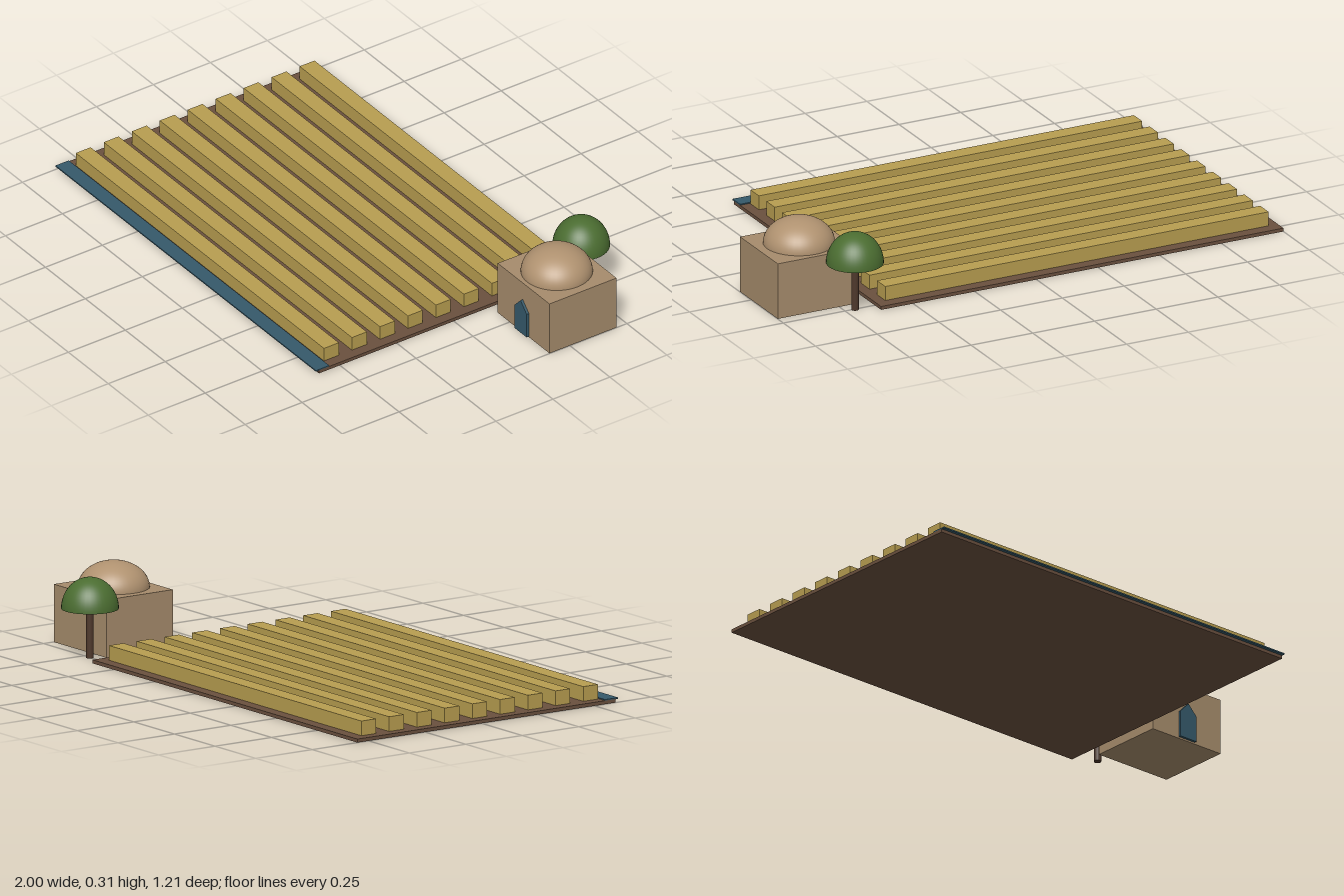
import * as THREE from 'three';

const mat = (name, color, side = THREE.FrontSide) => {
  const m = new THREE.MeshStandardMaterial({ color, side });
  m.name = name;
  return m;
};

export function createModel() {
  const model = new THREE.Group();
  model.name = 'farm';

  const soil = mat('soil brown', 0x6a503e);
  const crop = mat('crop yellow', 0xb89e50);
  const water = mat('teal blue', 0x35596a);
  const clay = mat('clay wall', 0xa68c6c);
  const domeClay = mat('clay dome', 0xb09270);
  const leaf = mat('leaf green', 0x4b6d31);
  const bark = mat('bark brown', 0x4e382b);

  const add = (parent, name, geometry, material, x, y, z) => {
    const mesh = new THREE.Mesh(geometry, material);
    mesh.name = name;
    mesh.position.set(x, y, z);
    parent.add(mesh);
    return mesh;
  };
  // Box given by its minimum and maximum corners
  const box = (parent, name, material, [x0, y0, z0], [x1, y1, z1]) =>
    add(parent, name, new THREE.BoxGeometry(x1 - x0, y1 - y0, z1 - z0), material,
      (x0 + x1) / 2, (y0 + y1) / 2, (z0 + z1) / 2);
  // Upper half of a sphere, closed by a disc underneath
  const dome = (parent, name, material, radius, height, x, y, z) => {
    const group = new THREE.Group();
    group.name = name;
    group.position.set(x, y, z);
    const shell = add(group, name + 'Shell',
      new THREE.SphereGeometry(radius, 40, 16, 0, Math.PI * 2, 0, Math.PI / 2), material, 0, 0, 0);
    shell.scale.y = height / radius;
    const base = add(group, name + 'Base', new THREE.CircleGeometry(radius, 40), material, 0, 0, 0);
    base.rotation.x = Math.PI / 2;
    parent.add(group);
  };

  // Field with nine crop rows and a water channel along the front
  const field = new THREE.Group();
  field.name = 'field';
  model.add(field);
  box(field, 'soilBed', soil, [-1, 0, -0.55], [0.63, 0.013, 0.592]);
  for (let i = 0; i < 9; i++) {
    const z = -0.473 + i * 0.1228;
    box(field, 'cropRow', crop, [-0.963, 0.01, z - 0.0325], [0.59, 0.067, z + 0.0325]);
  }
  box(field, 'waterChannel', water, [-1, 0.012, 0.547], [0.63, 0.017, 0.605]);

  // Domed house with a pointed door
  const house = new THREE.Group();
  house.name = 'house';
  model.add(house);
  box(house, 'walls', clay, [0.675, 0, -0.455], [0.999, 0.213, -0.161]);
  dome(house, 'roofDome', domeClay, 0.13, 0.097, 0.836, 0.213, -0.307);
  const doorShape = new THREE.Shape([
    [-0.038, 0.005], [0.038, 0.005], [0.038, 0.104], [0, 0.144], [-0.038, 0.104],
  ].map(([x, y]) => new THREE.Vector2(x, y)));
  add(house, 'door', new THREE.ExtrudeGeometry(doorShape, { depth: 0.0099, bevelEnabled: false }),
    water, 0.835, 0, -0.159);

  // Tree beside the house
  const tree = new THREE.Group();
  tree.name = 'tree';
  model.add(tree);
  add(tree, 'trunk', new THREE.CylinderGeometry(0.0135, 0.0135, 0.19, 16), bark, 0.711, 0.095, -0.503);
  dome(tree, 'canopy', leaf, 0.104, 0.114, 0.711, 0.182, -0.502);

  return model;
}
